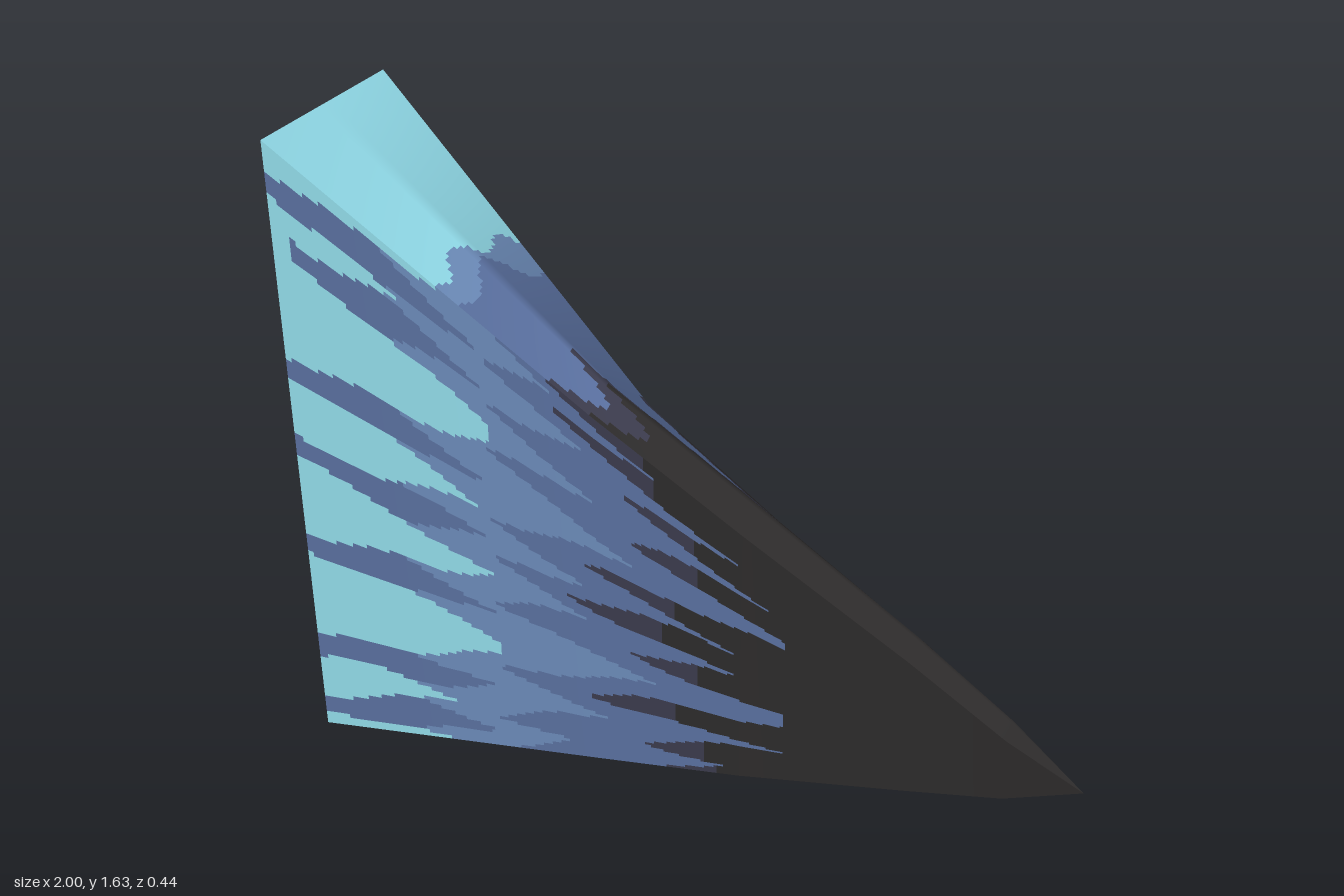
import * as THREE from 'three';

const mat = (name, color) => {
  const m = new THREE.MeshStandardMaterial({ color });
  m.name = name;
  return m;
};
const materials = [
  mat('paleTeal', 0x8fd8e6), mat('midBlue', 0x6a89b6),
  mat('slateBlue', 0x586e9d), mat('charcoal', 0x2c2a2a), mat('darkIndigo', 0x3a3a4b),
];

// Cross-sections: x, then y and z of the front top, crest, back top and bottom corners
const sections = [
  [-1, 1.63, 0.22, 1.6275, 0, 1.625, -0.22, 0, 0.22],
  [-0.17, 1.18, 0.207, 1.22, 0.13, 1.08, -0.03, 0.23, 0.209],
  [0.2, 1.0, 0.202, 1.045, 0.14, 0.93, 0.03, 0.335, 0.205],
  [0.6, 0.81, 0.191, 0.845, 0.145, 0.78, 0.085, 0.455, 0.188],
  [0.83, 0.69, 0.185, 0.72, 0.152, 0.69, 0.14, 0.53, 0.182],
  [1, 0.6, 0.155, 0.6, 0.155, 0.6, 0.155, 0.6, 0.155],
];
const [FRONT, CREST, BACK, BOTTOM] = [1, 3, 5, 7];

function corner(x, which) {
  let i = 0;
  while (i < sections.length - 2 && x > sections[i + 1][0]) i++;
  const a = sections[i], b = sections[i + 1];
  const k = (x - a[0]) / (b[0] - a[0]);
  return new THREE.Vector3(x,
    a[which] + (b[which] - a[which]) * k,
    a[which + 1] + (b[which + 1] - a[which + 1]) * k);
}

// Streak heights, 0 at the bottom edge and 1 at the top edge
const stripes = [0.045, 0.155, 0.35, 0.51, 0.655, 0.86, 0.945];
const tongues = [0.0, 0.08, 0.2, 0.37, 0.47, 0.57, 0.72, 0.83, 0.93, 1.0];
const reach = [0, -0.05, -0.2, -0.08, -0.25, -0.2, -0.08, -0.1, -0.28, -0.33];

function colourAt(x, height) {
  const v = height + 0.008 * Math.sin(x * 13 + height * 22);
  // Pale lobes narrow between the stripes
  const t = (x + 1) / 0.55;
  const gap = Math.min(...stripes.map((s) =>
    Math.abs(v - s) + (s === 0.86 && x < -0.95 ? 1 : 0)));
  if (x < -0.44 && gap > 0.018 + 0.062 * t * t) return 0;
  if (x > 0.31) return 3;
  // Dark tongues widen towards the tip
  let edge = 1;
  for (let i = 0; i < tongues.length; i++) {
    const d = Math.abs(v - tongues[i]);
    const k = (x - reach[i]) / (0.31 - reach[i]);
    if (k > 0 && d < 0.058 * Math.pow(k, 0.7)) return k < 0.45 ? 4 : 3;
    edge = Math.min(edge, d);
  }
  // Blue fields lie between the stripe ends and the slate streaks
  const stripeEnd = 0.035 * (-0.45 - x) / 0.25;
  const streak = 0.075 * (x + 0.46) / 0.4;
  return x < 0 && gap > stripeEnd && edge > streak ? 1 : 2;
}

// Pale top with a slate band, then a dark tip reaching furthest along the crest
function topColour(x, t) {
  if (x < -0.57 + 0.025 * Math.sin(t * 13)) return 0;
  if (x < -0.51 + 0.03 * Math.sin(t * 9)) return 1;
  const s = Math.sin(t * Math.PI * 2);
  const start = t < 0.5 ? -0.3 + 0.15 * s : -0.25 - 0.38 * s;
  if (x < start) return 2;
  return x < start + 0.1 ? 4 : 3;
}

// Grid surface whose cells are sorted into colour groups
function panel(name, nu, nt, point, colour) {
  const pos = [], cells = materials.map(() => []);
  for (let i = 0; i <= nu; i++) {
    for (let j = 0; j <= nt; j++) pos.push(...point(i / nu, j / nt).toArray());
  }
  for (let i = 0; i < nu; i++) {
    for (let j = 0; j < nt; j++) {
      const a = i * (nt + 1) + j, b = a + nt + 1;
      const c = colour((i + 0.5) / nu, (j + 0.5) / nt);
      cells[c].push(a, b, b + 1, a, b + 1, a + 1);
    }
  }
  const g = new THREE.BufferGeometry();
  g.setAttribute('position', new THREE.Float32BufferAttribute(pos, 3));
  g.setIndex(cells.flat());
  let start = 0;
  cells.forEach((c, i) => {
    if (c.length) g.addGroup(start, c.length, i);
    start += c.length;
  });
  g.computeVertexNormals();
  const mesh = new THREE.Mesh(g, materials);
  mesh.name = name;
  return mesh;
}

export function createModel() {
  const group = new THREE.Group();
  group.name = 'taperedSpike';
  const X = (u) => -1 + 2 * u;
  const side = (from, to) => (u, t) => corner(X(u), from).lerp(corner(X(u), to), t);

  // Long faces, from the broad base to the tip
  group.add(panel('frontFace', 240, 130, side(BOTTOM, FRONT), (u, t) => colourAt(X(u), t)));
  group.add(panel('backFace', 240, 130, side(BACK, BOTTOM), (u, t) => colourAt(X(u), 1 - t)));

  // Top face, folded along the crest
  const frontSlope = side(FRONT, CREST), backSlope = side(CREST, BACK);
  group.add(panel('topFace', 240, 20,
    (u, t) => (t < 0.5 ? frontSlope(u, t * 2) : backSlope(u, t * 2 - 1)),
    (u, t) => topColour(X(u), t)));

  // Flat triangular base
  const base = (s, t) => {
    const low = corner(-1, BOTTOM);
    return low.clone().lerp(corner(-1, FRONT), s).lerp(low.lerp(corner(-1, BACK), s), t);
  };
  group.add(panel('baseCap', 160, 8, base, (s, t) => colourAt(-1, s + 0.02 * Math.sin(t * Math.PI))));
  return group;
}
